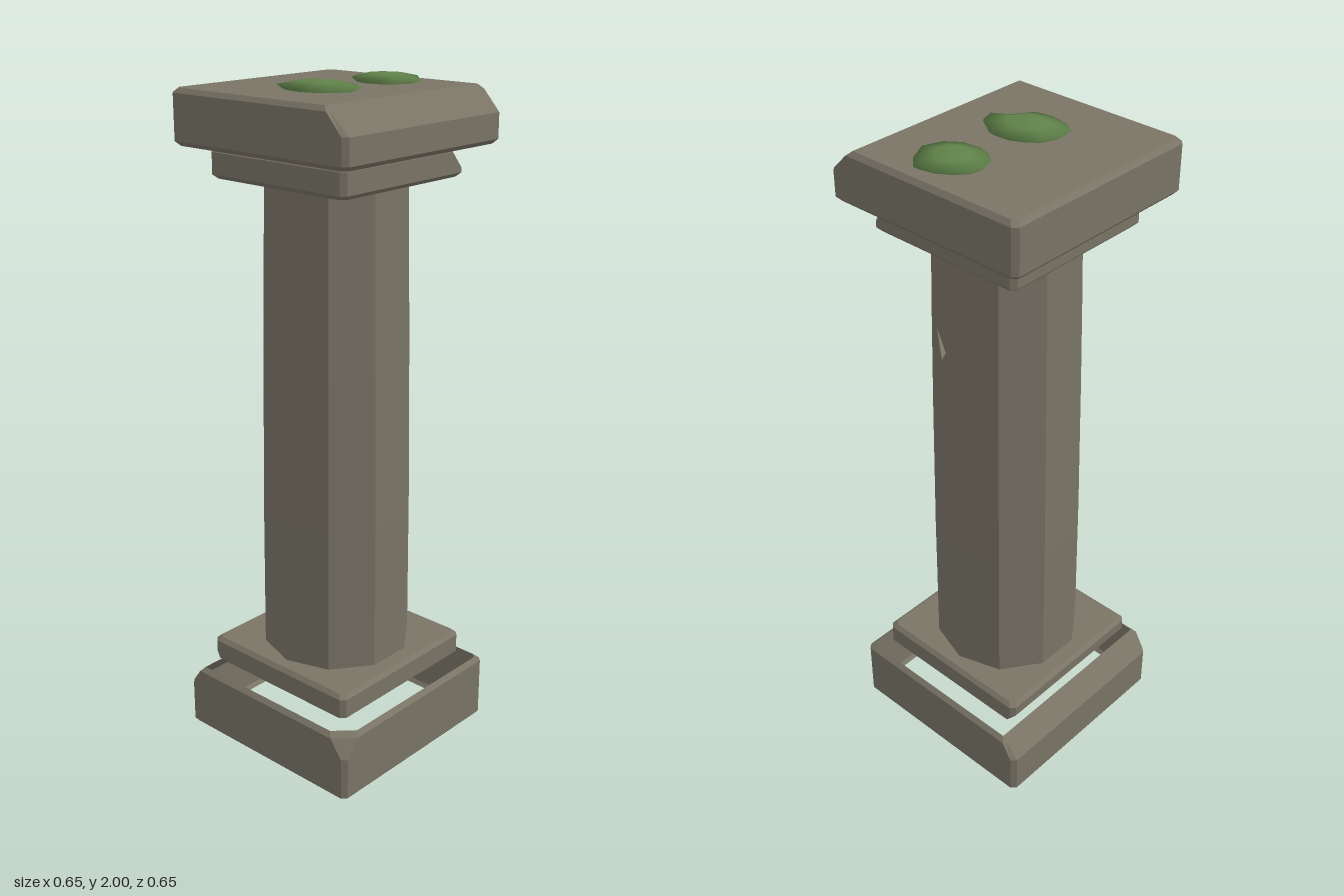
import * as THREE from 'three';
import { ConvexGeometry } from 'three/addons/geometries/ConvexGeometry.js';

// Joins equal-length rings of [x, y, z] (counterclockwise from above, listed bottom to top).
function loft(rings, { top = false, bottom = false, smooth = false } = {}) {
  const n = rings[0].length;
  const pos = rings.flat(2);
  const index = [];
  for (let r = 0; r < rings.length - 1; r++) {
    for (let j = 0; j < n; j++) {
      const a = r * n + j, b = r * n + (j + 1) % n;
      index.push(a, b, b + n, a, b + n, a + n);
    }
  }
  const cap = (r, flip) => {
    const c = pos.length / 3;
    for (let k = 0; k < 3; k++) pos.push(rings[r].reduce((s, p) => s + p[k], 0) / n);
    for (let j = 0; j < n; j++) {
      const a = r * n + j, b = r * n + (j + 1) % n;
      index.push(c, flip ? b : a, flip ? a : b);
    }
  };
  if (top) cap(rings.length - 1, false);
  if (bottom) cap(0, true);
  let geo = new THREE.BufferGeometry();
  geo.setAttribute('position', new THREE.Float32BufferAttribute(pos, 3));
  geo.setIndex(index);
  if (!smooth) geo = geo.toNonIndexed();
  geo.computeVertexNormals();
  return geo;
}

// Bevelled square ring; one corner may be chipped wider, and a rule may trim an edge.
const CORNERS = [[1, 1], [1, -1], [-1, -1], [-1, 1]];
function squareRing(half, y, inset, chipCorner, chip, trim) {
  const h = half - inset;
  return CORNERS.flatMap(([sx, sz], k) => {
    const c = k === chipCorner && chip ? chip : 0.014;
    const onZ = [sx * (h - c), y, sz * h];
    const onX = [sx * h, y, sz * (h - c)];
    return k % 2 ? [onX, onZ] : [onZ, onX];
  }).map(([x, py, z]) => [trim ? trim(x, py) : x, py, z]);
}

// levels: [y, inset, chip size]
function slab(half, levels, { chipCorner = -1, trim, ...caps } = {}) {
  return loft(levels.map(([y, i, c]) => squareRing(half, y, i, chipCorner, c, trim)), caps);
}

export function createModel() {
  const stone = new THREE.MeshStandardMaterial({ color: 0x7a7466, side: THREE.DoubleSide });
  stone.name = 'stone';
  const moss = new THREE.MeshStandardMaterial({ color: 0x5f8249, side: THREE.DoubleSide });
  moss.name = 'moss';

  const group = new THREE.Group();
  group.name = 'column';
  const add = (name, geo, mat) => {
    const mesh = new THREE.Mesh(geo, mat);
    mesh.name = name;
    group.add(mesh);
  };

  // Hollow plinth, worn along its right top edge and at the front left corner
  add('plinth', slab(0.327, [
    [0, 0.01], [0.012, 0], [0.14, 0], [0.195, 0, 0.055], [0.208, 0.014, 0.055],
  ], {
    chipCorner: 0,
    trim: (x, y) => Math.max(x, -0.27 - (0.208 - y) * 0.85),
  }), stone);

  // Lower slab, open underneath, worn along its right bottom edge
  add('lowerSlab', slab(0.272, [
    [0.22, 0.012], [0.232, 0], [0.255, 0], [0.29, 0], [0.302, 0.012],
  ], {
    top: true,
    trim: (x, y) => Math.max(x, -0.236 - (y - 0.22)),
  }), stone);

  // Ten-sided shaft with a gentle swelling
  const shaftLevels = [[0.3, 0.226], [0.75, 0.223], [1.2, 0.216], [1.5, 0.21], [1.74, 0.204]];
  add('shaft', loft(shaftLevels.map(([y, r]) =>
    Array.from({ length: 10 }, (_, j) => {
      const a = j * Math.PI / 5;
      return [r * Math.sin(a), y, r * Math.cos(a)];
    }))), stone);

  // Small broken shard on the back of the shaft
  add('shard', new ConvexGeometry([
    [0.115, 1.34, -0.172], [0.1, 1.465, -0.176], [0.03, 1.41, -0.228], [0.07, 1.41, -0.15],
  ].map((p) => new THREE.Vector3(...p))), stone);

  // Upper slab, chipped at its back left corner
  add('upperSlab', slab(0.25, [
    [1.73, 0.012], [1.742, 0], [1.755, 0], [1.803, 0, 0.055], [1.814, 0.012, 0.055],
  ], { chipCorner: 1, bottom: true }), stone);

  // Cap, open underneath, worn along its left top edge
  add('cap', slab(0.32, [
    [1.82, 0.012], [1.833, 0], [1.905, 0], [1.962, 0], [1.975, 0.012],
  ], {
    top: true,
    trim: (x, y) => Math.min(x, 0.24 + (1.975 - y) * 1.14),
  }), stone);

  // Moss patches: [outline x, z], with one nicked point on the rim
  const patches = [
    ['backMoss', 11, [
      [0.05, -0.283], [0, -0.272], [-0.045, -0.245], [-0.075, -0.21], [-0.083, -0.17], [-0.065, -0.13],
      [-0.035, -0.105], [0.01, -0.093], [0.06, -0.1], [0.1, -0.13], [0.12, -0.185], [0.1, -0.235],
    ]],
    ['frontMoss', 9, [
      [0.05, -0.014], [0, -0.012], [-0.05, 0.01], [-0.085, 0.04], [-0.104, 0.09], [-0.097, 0.135],
      [-0.06, 0.16], [0, 0.172], [0.05, 0.162], [0.1, 0.12], [0.133, 0.078], [0.115, 0.03],
    ]],
  ];
  for (const [name, nick, outline] of patches) {
    const cx = outline.reduce((s, p) => s + p[0], 0) / outline.length;
    const cz = outline.reduce((s, p) => s + p[1], 0) / outline.length;
    const ring = (scale, y, drop = 0) => outline.map(([x, z], j) =>
      [cx + (x - cx) * scale, j === nick ? y - drop : y, cz + (z - cz) * scale]);
    add(name, loft([ring(0.6, 1.955), ring(1, 1.985, 0.008), ring(0.5, 1.997), ring(0.1, 2)],
      { top: true, bottom: true, smooth: true }), moss);
  }

  return group;
}
